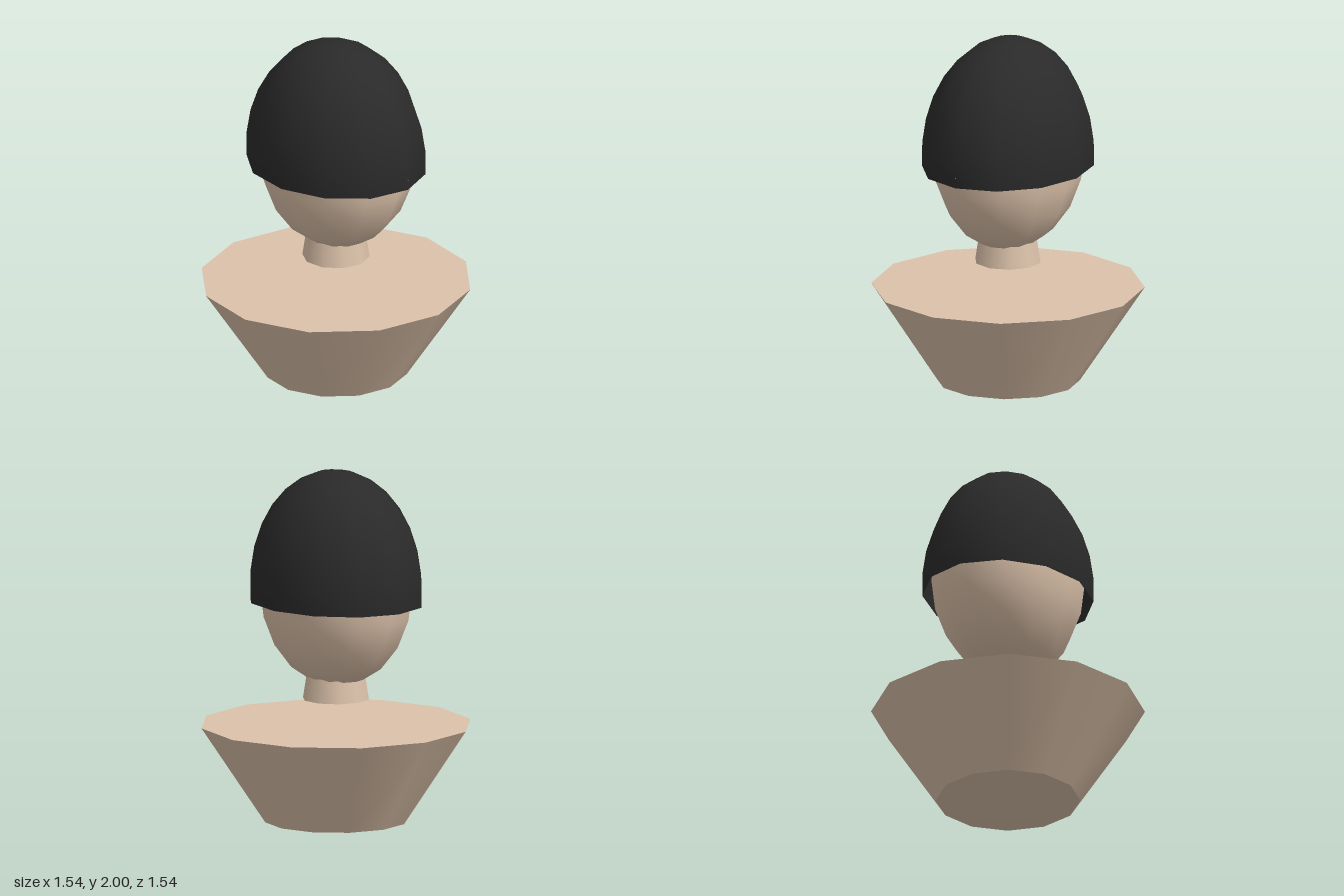
import * as THREE from 'three';

export function createModel() {
  const model = new THREE.Group();
  model.name = 'bust';

  const skin = new THREE.MeshStandardMaterial({ color: 0xdcc2aa });
  skin.name = 'skin';
  const knit = new THREE.MeshStandardMaterial({ color: 0x2a2a2a, side: THREE.DoubleSide });
  knit.name = 'black knit';

  const add = (name, geometry, material, y, z = 0) => {
    const mesh = new THREE.Mesh(geometry, material);
    mesh.name = name;
    mesh.position.set(0, y, z);
    model.add(mesh);
    return mesh;
  };

  // Tapered shoulder block standing on the ground
  add('shoulders', new THREE.CylinderGeometry(0.77, 0.405, 0.55, 12), skin, 0.275);

  // Neck floats above the shoulders and runs up into the head
  add('neck', new THREE.CylinderGeometry(0.158, 0.19, 0.205, 10), skin, 0.7975);

  // Egg-shaped head, deeper than wide
  add('head', new THREE.SphereGeometry(1, 12, 10), skin, 1.35).scale.set(0.415, 0.58, 0.478);

  // Small pointed nose, its tip just reaching through the cap
  add('nose', new THREE.ConeGeometry(0.04, 0.1, 6), skin, 1.31, 0.495).rotation.x = Math.PI / 2;

  // Open cap pulled down over the head
  const capArc = THREE.MathUtils.degToRad(95.9);
  const capGeometry = new THREE.SphereGeometry(1, 12, 8, 0, Math.PI * 2, 0, capArc);
  add('cap', capGeometry, knit, 1.32).scale.set(0.464, 0.68, 0.542);

  return model;
}
